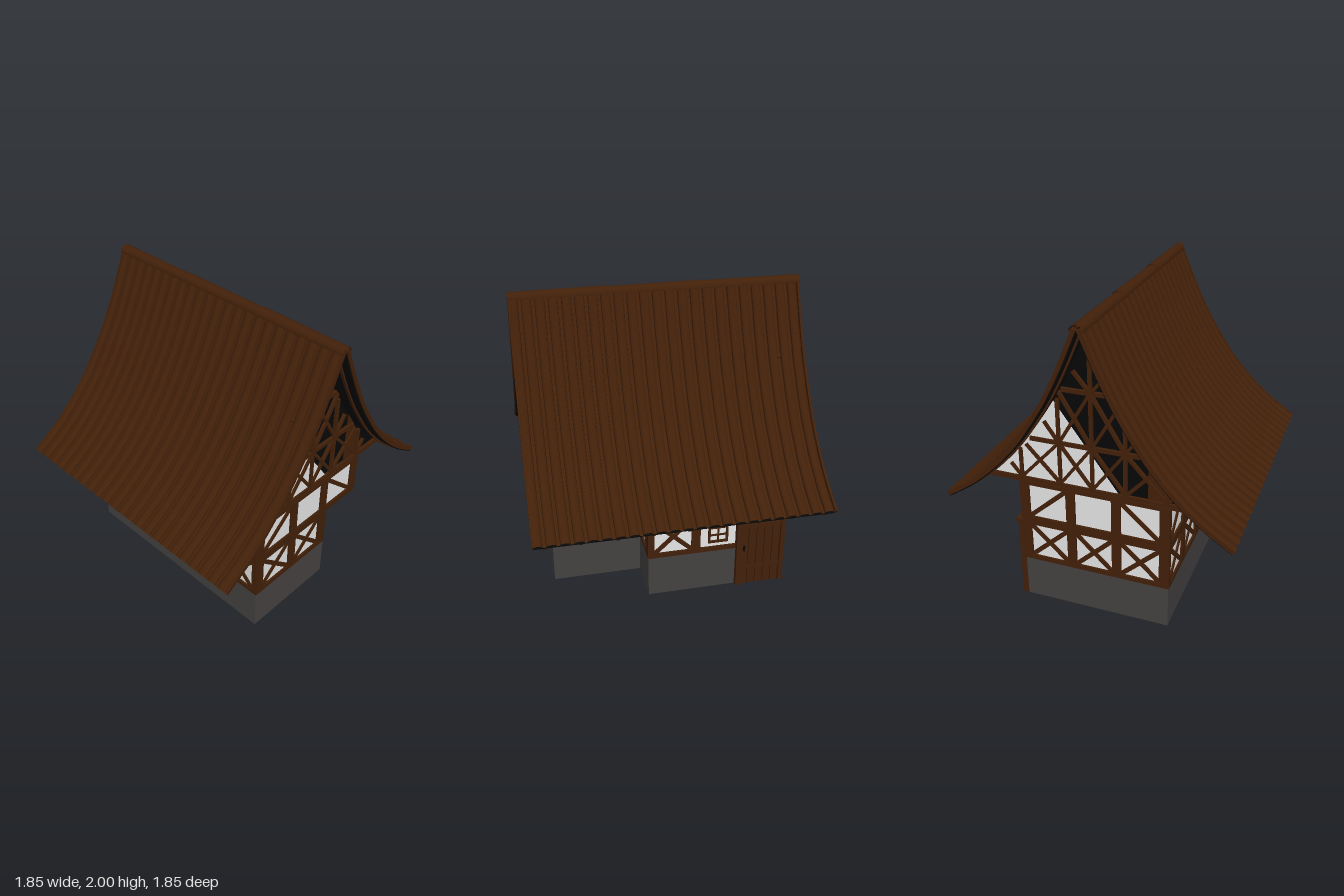
import * as THREE from 'three';

const mat = (name, color, side = THREE.FrontSide) => {
  const m = new THREE.MeshStandardMaterial({ color, side });
  m.name = name;
  return m;
};
const TIMBER = mat('timber brown', 0x422009);
const TILE = mat('roof brown', 0x422009, THREE.DoubleSide);
const PLASTER = mat('plaster white', 0xe6e6e6);
const STONE = mat('stone grey', 0x454241);
const DARK = mat('lining black', 0x070707, THREE.DoubleSide);

const HX = 0.765, HZ = 0.49;

function add(parent, name, geo, material, x = 0, y = 0, z = 0) {
  const m = new THREE.Mesh(geo, material);
  m.name = name;
  m.position.set(x, y, z);
  parent.add(m);
  return m;
}
function box(parent, name, material, x0, x1, y0, y1, z0, z1) {
  return add(parent, name, new THREE.BoxGeometry(x1 - x0, y1 - y0, z1 - z0), material,
    (x0 + x1) / 2, (y0 + y1) / 2, (z0 + z1) / 2);
}
// timber laid between two points of a wall plane
function beam(parent, name, x0, y0, x1, y1, width, z0 = -0.04, z1 = 0.004) {
  const m = add(parent, name, new THREE.BoxGeometry(Math.hypot(x1 - x0, y1 - y0), width, z1 - z0),
    TIMBER, (x0 + x1) / 2, (y0 + y1) / 2, (z0 + z1) / 2);
  m.rotation.z = Math.atan2(y1 - y0, x1 - x0);
}
function plate(parent, name, points, depth, material, z) {
  const shape = new THREE.Shape(points.map(p => new THREE.Vector2(p[0], p[1])));
  return add(parent, name, new THREE.ExtrudeGeometry(shape, { depth, bevelEnabled: false }), material, 0, 0, z);
}
// a group whose local +z points out of the wall
function facing(parent, name, x, z, turn) {
  const g = new THREE.Group();
  g.name = name;
  g.position.set(x, 0, z);
  g.rotation.y = turn * Math.PI / 2;
  parent.add(g);
  return g;
}

// arched window frame with glazing bars
function archWindow(g, u) {
  const arch = (r, s) => {
    s.moveTo(-r, 0.42 - r);
    s.lineTo(r, 0.42 - r);
    s.lineTo(r, 0.475);
    s.absarc(0, 0.475, r, 0, Math.PI, false);
    s.closePath();
    return s;
  };
  const shape = arch(0.068, new THREE.Shape());
  shape.holes.push(arch(0.053, new THREE.Path()));
  add(g, 'windowFrame', new THREE.ExtrudeGeometry(shape, { depth: 0.04, bevelEnabled: false, curveSegments: 8 }),
    TIMBER, u, 0, -0.038);
  box(g, 'windowBar', TIMBER, u - 0.005, u + 0.005, 0.36, 0.535, -0.036, 0);
  for (const y of [0.41, 0.465]) box(g, 'windowBar', TIMBER, u - 0.06, u + 0.06, y - 0.005, y + 0.005, -0.036, 0);
}

// plank door with frame, lintel and handle
function door(g, u0, u1) {
  box(g, 'doorFrame', TIMBER, u0, u0 + 0.03, 0, 0.57, -0.01, 0.03);
  box(g, 'doorFrame', TIMBER, u1 - 0.03, u1, 0, 0.57, -0.01, 0.03);
  box(g, 'doorLintel', TIMBER, u0 - 0.01, u1 + 0.01, 0.56, 0.585, -0.01, 0.04);
  const n = 5, w = (u1 - u0 - 0.06) / n;
  for (let i = 0; i < n; i++) {
    const a = u0 + 0.03 + i * w;
    box(g, 'doorPlank', TIMBER, a + 0.002, a + w - 0.002, 0, 0.56, -0.01, 0.016);
  }
  for (const y of [0.12, 0.45]) box(g, 'doorBand', TIMBER, u0 + 0.03, u1 - 0.03, y, y + 0.03, 0.01, 0.021);
  box(g, 'doorHandle', DARK, u0 + 0.05, u0 + 0.06, 0.27, 0.31, 0.01, 0.028);
}

// one storey of timber framing; each letter fills one bay between posts
function storey(g, posts, bays, y0, y1, corner) {
  const a = posts[0], b = posts[posts.length - 1], m = corner / 2;
  box(g, 'plasterWall', PLASTER, a - m, b + m, y0, y1, -0.03, -0.01);
  beam(g, 'sillBeam', a - m, y0 + 0.016, b + m, y0 + 0.016, 0.032);
  beam(g, 'headBeam', a - m, y1 - 0.015, b + m, y1 - 0.015, 0.03);
  posts.forEach((p, i) => {
    const w = i === 0 || i === posts.length - 1 ? corner : 0.06;
    beam(g, 'post', p, y0, p, y1, w);
  });
  [...bays].forEach((type, i) => {
    const u0 = posts[i] + 0.02, u1 = posts[i + 1] - 0.02, v0 = y0 + 0.025, v1 = y1 - 0.025;
    if ('X/'.includes(type)) beam(g, 'brace', u0, v0, u1, v1, 0.028, -0.025, 0);
    if ('X\\'.includes(type)) beam(g, 'brace', u0, v1, u1, v0, 0.028, -0.025, 0);
    if (type === 'W') archWindow(g, (u0 + u1) / 2);
    if (type === 'D') door(g, posts[i] - 0.03, posts[i + 1] + 0.015);
  });
}
const stone = (g, u0, u1) => box(g, 'stoneBase', STONE, u0, u1, 0, 0.295, -0.03, 0);

// roof profile: x = distance from the ridge, y = height
const curve = new THREE.CatmullRomCurve3([[0.03, 1.985], [0.145, 1.72], [0.245, 1.52], [0.33, 1.38],
  [0.455, 1.2], [0.615, 1.025], [0.75, 0.908], [0.925, 0.79]].map(p => new THREE.Vector3(p[0], p[1], 0)));
function profile(t, offset) {
  const p = curve.getPointAt(t), d = curve.getTangentAt(t);
  return [Math.max(0, p.x - d.y * offset), p.y + d.x * offset];
}
const run = (offset, n = 24) => Array.from({ length: n + 1 }, (_, i) => profile(i / n, offset));

// overlapping rows: raised cover tiles with narrow sunken channels between
function tileGeometry(half) {
  const rows = 7, cols = 23, len = 4, pos = [], idx = [];
  const section = [[0, 0], [0.04, 0.018], [0.16, 0.026], [0.38, 0.03], [0.6, 0.026], [0.72, 0.018], [0.76, 0], [1, 0]];
  for (let r = 0; r < rows; r++) for (let c = 0; c < cols; c++) for (let k = 0; k < section.length - 1; k++) {
    const sunken = k === section.length - 2;
    const base = pos.length / 3;
    for (let j = 0; j <= len; j++) for (const [a, h] of [section[k], section[k + 1]]) {
      const f = j / len;
      const t = Math.min(1, (r + f * 1.03) / rows);
      const [z, y] = profile(t, -0.033 + h + (sunken ? 0.006 : 0.003) * f);
      pos.push(-half + (c + a) * 2 * half / cols, y, z);
    }
    for (let p = base; p < base + 2 * len; p += 2) idx.push(p, p + 2, p + 1, p + 1, p + 2, p + 3);
  }
  const geo = new THREE.BufferGeometry();
  geo.setAttribute('position', new THREE.Float32BufferAttribute(pos, 3));
  geo.setIndex(idx);
  geo.computeVertexNormals();
  return geo;
}
// solid strip following the roof profile, from x0 to x1
function roofBand(g, name, material, o0, o1, x0, x1) {
  const pts = [...run(o0), ...run(o1).reverse()];
  const m = plate(g, name, pts, x1 - x0, material, 0);
  m.rotation.y = -Math.PI / 2;
  m.position.x = x1;
}

function roofSlope(g) {
  add(g, 'roofTiles', tileGeometry(0.923), TILE);
  roofBand(g, 'roofLining', DARK, -0.041, -0.034, -0.915, 0.915);
  for (const x of [-0.915, 0.915]) roofBand(g, 'vergeTile', TILE, -0.033, -0.008, x - 0.007, x + 0.007);
  for (let i = 0; i < 9; i++) {
    const x = -0.855 + i * 0.2137;
    roofBand(g, 'rafter', TIMBER, -0.052, -0.04, x - 0.01, x + 0.01);
  }
  // eaves joists and edge plate
  for (const x of [-0.74, -0.455, -0.15, 0.15, 0.455, 0.74]) box(g, 'eavesJoist', TIMBER, x - 0.025, x + 0.025, 0.868, 0.89, HZ - 0.03, 0.71);
  box(g, 'eavesPlate', TIMBER, -HX, HX, 0.872, 0.895, 0.675, 0.715);
}

function gable(g) {
  const side = run(-0.04, 40).filter(p => p[1] > 0.885);
  plate(g, 'gableBoard', [...side, ...side.slice().reverse().map(p => [-p[0], p[1]])], 0.01, DARK, -0.03);
  const low = side.filter(p => p[1] < 1.45).map(p => [-p[0], p[1]]);
  plate(g, 'gablePlaster', [...low, [0.17, 0.885]], 0.006, PLASTER, -0.02);
  plate(g, 'gableBoarding', [[0.35, 0.89], [0.46, 0.89], [0.46, 1.1], [0.35, 1.28]], 0.006, TIMBER, -0.02);
  const b = (x0, y0, x1, y1, w = 0.022) => beam(g, 'gableTimber', x0, y0, x1, y1, w, -0.025, 0);
  b(-0.71, 0.888, 0.71, 0.888, 0.03);
  b(-0.4, 1.18, 0.4, 1.18, 0.026);
  b(-0.18, 1.535, 0.18, 1.535, 0.026);
  b(0, 0.9, 0, 1.92);
  for (const s of [-1, 1]) {
    b(s * 0.21, 0.9, s * 0.21, 1.47);
    b(s * 0.47, 0.9, s * 0.47, 1.1);
    for (const [x0, x1, y0, y1] of [[0, 0.21, 0.9, 1.18], [0, 0.21, 1.18, 1.535]]) b(s * x0, y0, s * x1, y1, 0.02);
    b(0, 1.18, s * 0.21, 0.9, 0.02);
    b(0, 1.535, s * 0.21, 1.18, 0.02);
    b(s * 0.21, 0.9, s * 0.43, 1.135, 0.02);
    b(s * 0.21, 1.18, s * 0.47, 0.9, 0.02);
    b(s * 0.21, 1.18, s * 0.3, 1.31, 0.02);
    b(s * 0.47, 0.9, s * 0.54, 0.985, 0.02);
    b(0, 1.535, s * 0.105, 1.66, 0.02);
  }
}

export function createModel() {
  const house = new THREE.Group();
  house.name = 'timberFramedHouse';
  const L = [-0.75, -0.46, -0.155, 0.155, 0.46, 0.75];
  const S = [-0.459, -0.15, 0.15, 0.459];
  const Y0 = 0.29, Y1 = 0.588, Y2 = 0.88, NARROW = 0.03, WIDE = 0.062;

  const front = facing(house, 'frontWall', 0, HZ, 0);
  stone(front, -HX, HX);
  storey(front, L, 'XXWXX', Y0, Y1, NARROW);
  storey(front, L, '// \\\\', Y1, Y2, NARROW);

  const rightEnd = facing(house, 'rightEndWall', -HX, 0, -1);
  stone(rightEnd, -HZ, HZ);
  storey(rightEnd, S, 'XXX', Y0, Y1, WIDE);
  storey(rightEnd, S, '/ \\', Y1, Y2, WIDE);

  // this end and the back are cut away at one lower corner
  const leftEnd = facing(house, 'leftEndWall', HX, 0, 1);
  stone(leftEnd, -HZ, 0.19);
  storey(leftEnd, S.slice(0, 3), 'XX', Y0, Y1, WIDE);
  storey(leftEnd, S, '/ \\', Y1, Y2, WIDE);

  const back = facing(house, 'backWall', 0, -HZ, 2);
  stone(back, -0.165, HX);
  storey(back, [-0.15, ...L.slice(3)], 'XWD', Y0, Y1, NARROW);
  storey(back, L, '// \\\\', Y1, Y2, NARROW);

  const recessBack = facing(house, 'recessBackWall', 0, -0.19, 2);
  stone(recessBack, -HX, -0.15);
  storey(recessBack, L.slice(0, 3), 'XX', Y0, Y1, NARROW);
  const recessSide = facing(house, 'recessSideWall', 0.165, 0, 1);
  stone(recessSide, 0.17, HZ);
  storey(recessSide, [0.19, 0.459], 'X', Y0, Y1, WIDE);
  box(house, 'recessCeiling', TIMBER, 0.14, HX, 0.57, 0.6, -HZ, -0.17);

  // attic floor, showing as soffit under the eaves
  box(house, 'atticFloor', PLASTER, -HX + 0.015, HX - 0.015, 0.878, 0.888, -0.69, 0.69);

  for (const turn of [1, -1]) gable(facing(house, 'gable', turn * HX, 0, turn));
  for (const turn of [0, 2]) roofSlope(facing(house, 'roofSlope', 0, 0, turn));

  // ridge caps, each tapering slightly
  for (let i = 0; i < 3; i++) {
    const geo = new THREE.CylinderGeometry(0.043, 0.039, 0.615, 10, 1, true, 0, Math.PI);
    const cap = add(house, 'ridgeCap', geo, TILE, -0.615 + i * 0.615, 1.957, 0);
    cap.rotation.z = Math.PI / 2;
  }
  return house;
}
